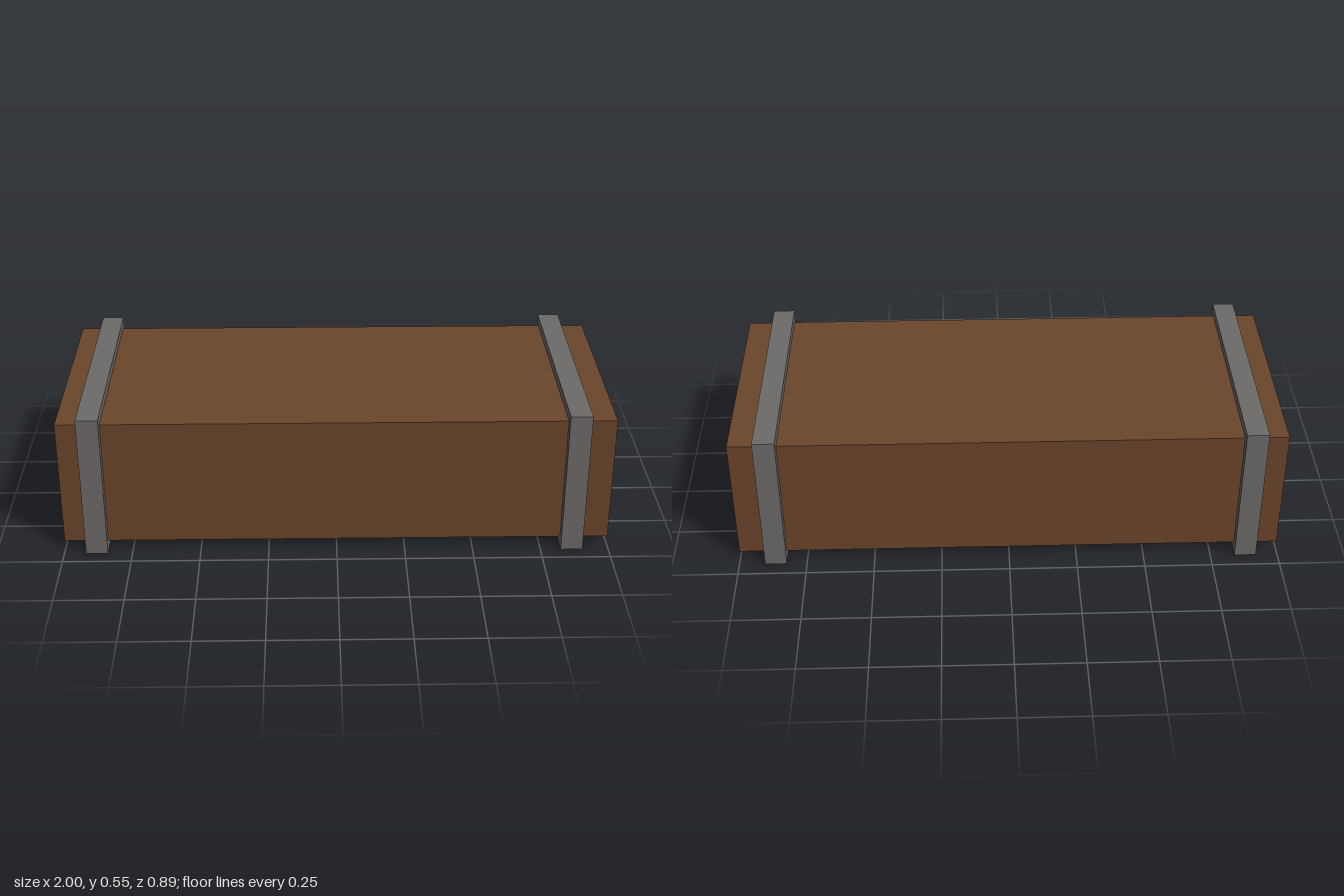
import * as THREE from 'three';

export function createModel() {
  const model = new THREE.Group();
  model.name = 'strappedBeam';
  const wood = new THREE.MeshStandardMaterial({ color: 0x6b452b });
  wood.name = 'brown wood';
  const metal = new THREE.MeshStandardMaterial({ color: 0x6e6a6a });
  metal.name = 'grey metal';

  // Main wooden block
  const block = new THREE.Mesh(new THREE.BoxGeometry(2, 0.48, 0.828), wood);
  block.name = 'woodenBlock';
  block.position.y = 0.276;
  model.add(block);

  // Rectangular metal band wrapped around the block, one near each end
  const rect = (target, w, h) => {
    target.moveTo(-w, -h);
    target.lineTo(w, -h);
    target.lineTo(w, h);
    target.lineTo(-w, h);
    target.closePath();
    return target;
  };
  const outline = rect(new THREE.Shape(), 0.447, 0.275);
  outline.holes.push(rect(new THREE.Path(), 0.412, 0.238));
  const bandGeometry = new THREE.ExtrudeGeometry(outline, { depth: 0.08, bevelEnabled: false });
  bandGeometry.translate(0, 0, -0.04);
  bandGeometry.rotateY(Math.PI / 2);

  for (const [name, x] of [['leftBand', 0.865], ['rightBand', -0.88]]) {
    const band = new THREE.Mesh(bandGeometry, metal);
    band.name = name;
    band.position.set(x, 0.275, 0);
    model.add(band);
  }
  return model;
}
